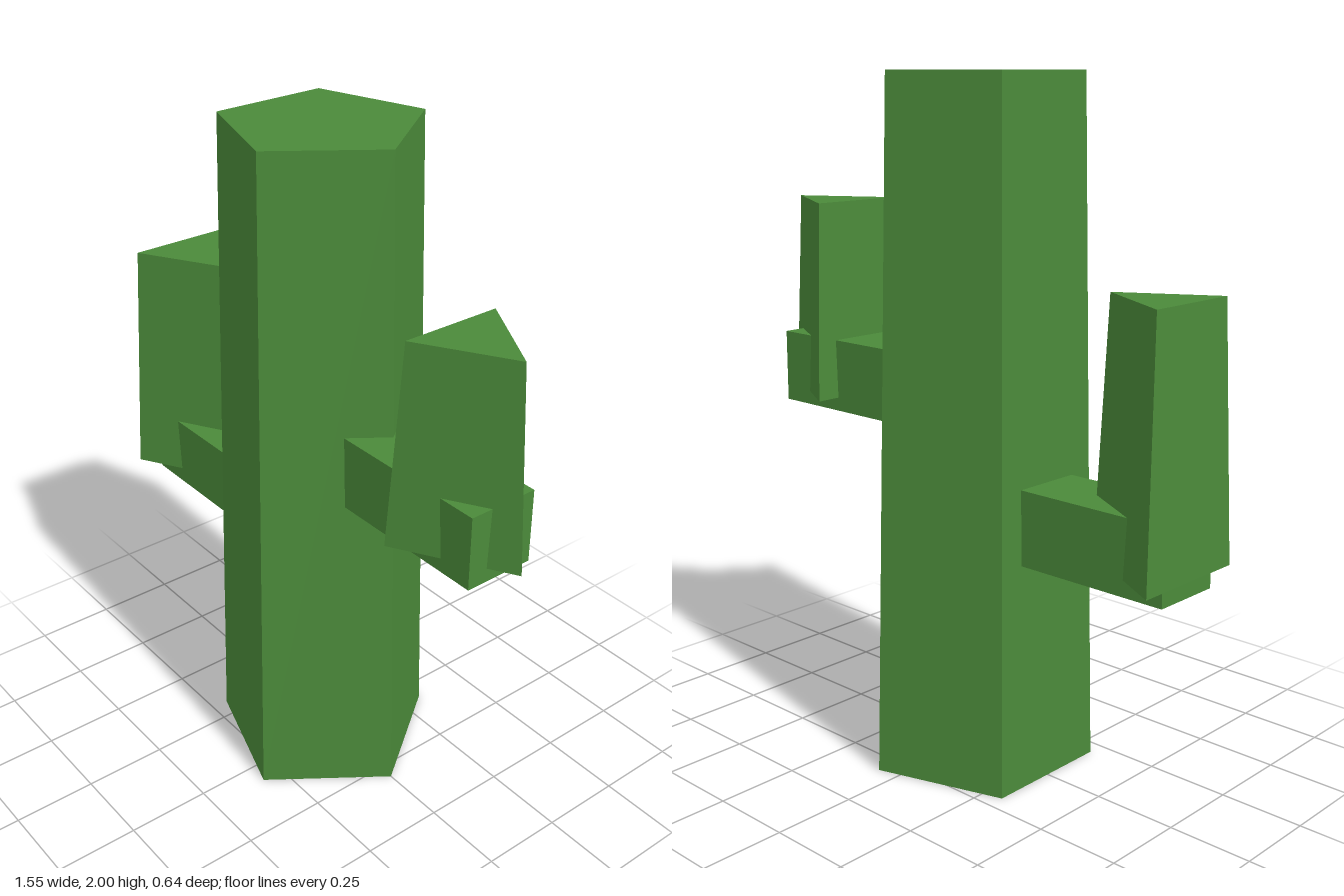
import * as THREE from 'three';

export function createModel() {
  const model = new THREE.Group();
  model.name = 'cactus';
  const green = new THREE.MeshStandardMaterial({ color: 0x4b8a3a });
  green.name = 'cactusGreen';

  function add(name, geometry, x, y, z = 0) {
    const mesh = new THREE.Mesh(geometry, green);
    mesh.name = name;
    mesh.position.set(x, y, z);
    model.add(mesh);
  }

  // Faceted tapering prism with one corner pointing to +x
  function prism(sides, rTop, rBottom, height) {
    const g = new THREE.CylinderGeometry(rTop, rBottom, height, sides, 1, false, Math.PI / 2).toNonIndexed();
    g.computeVertexNormals();
    return g;
  }

  // Five-sided trunk
  add('trunk', prism(5, 0.287, 0.337, 2), -0.037, 1);

  // Horizontal arms with upright three-sided branches
  const arms = [
    { side: 'left', x: 0.443, y: 1.095, branchX: 0.562, bottom: 1.027, top: 1.617 },
    { side: 'right', x: -0.52, y: 0.775, branchX: -0.673, bottom: 0.713, top: 1.44 },
  ];
  for (const a of arms) {
    add(a.side + 'Arm', new THREE.BoxGeometry(0.505, 0.218, 0.215), a.x, a.y);
    add(a.side + 'Branch', prism(3, 0.173, 0.213, a.top - a.bottom), a.branchX, (a.top + a.bottom) / 2);
  }
  return model;
}
